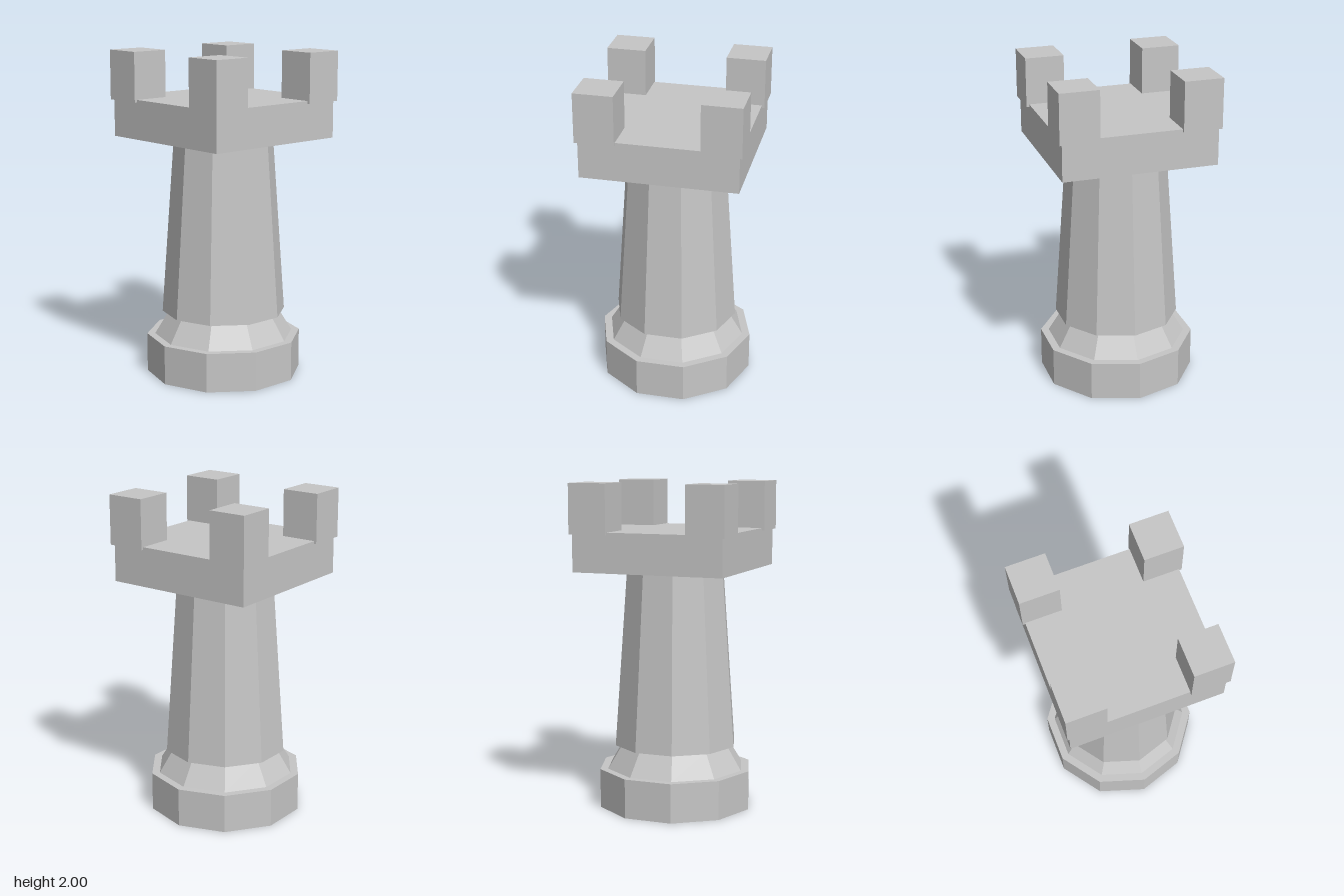
import * as THREE from 'three';

export function createModel() {
  const model = new THREE.Group();
  model.name = 'castleTower';

  const stone = new THREE.MeshStandardMaterial({ color: 0xc6c6c6, flatShading: true });
  stone.name = 'greyStone';

  const add = (name, geometry, x, y, z) => {
    const mesh = new THREE.Mesh(geometry, stone);
    mesh.name = name;
    mesh.position.set(x, y, z);
    model.add(mesh);
  };

  // Ten-sided section between two heights, with corners on the x axis
  const section = (name, rBottom, rTop, y0, y1) => {
    const geometry = new THREE.CylinderGeometry(rTop, rBottom, y1 - y0, 10);
    geometry.rotateY(Math.PI / 2);
    add(name, geometry, 0, (y0 + y1) / 2, 0);
  };

  section('base', 0.479, 0.479, 0, 0.24);
  section('collar', 0.43, 0.338, 0.24, 0.39);
  section('shaft', 0.382, 0.304, 0.385, 1.48);

  // Square platform
  add('platform', new THREE.BoxGeometry(0.94, 0.24, 0.94), 0, 1.594, -0.002);

  // Corner battlements, slightly overhanging the platform
  for (const [sx, front] of [[-1, 'Right'], [1, 'Left']]) {
    for (const [sz, side] of [[-1, 'back'], [1, 'front']]) {
      add(`${side}${front}Battlement`, new THREE.BoxGeometry(0.237, 0.302, 0.237),
        sx * 0.3675, 1.849, sz * 0.3675 - 0.001);
    }
  }

  return model;
}
